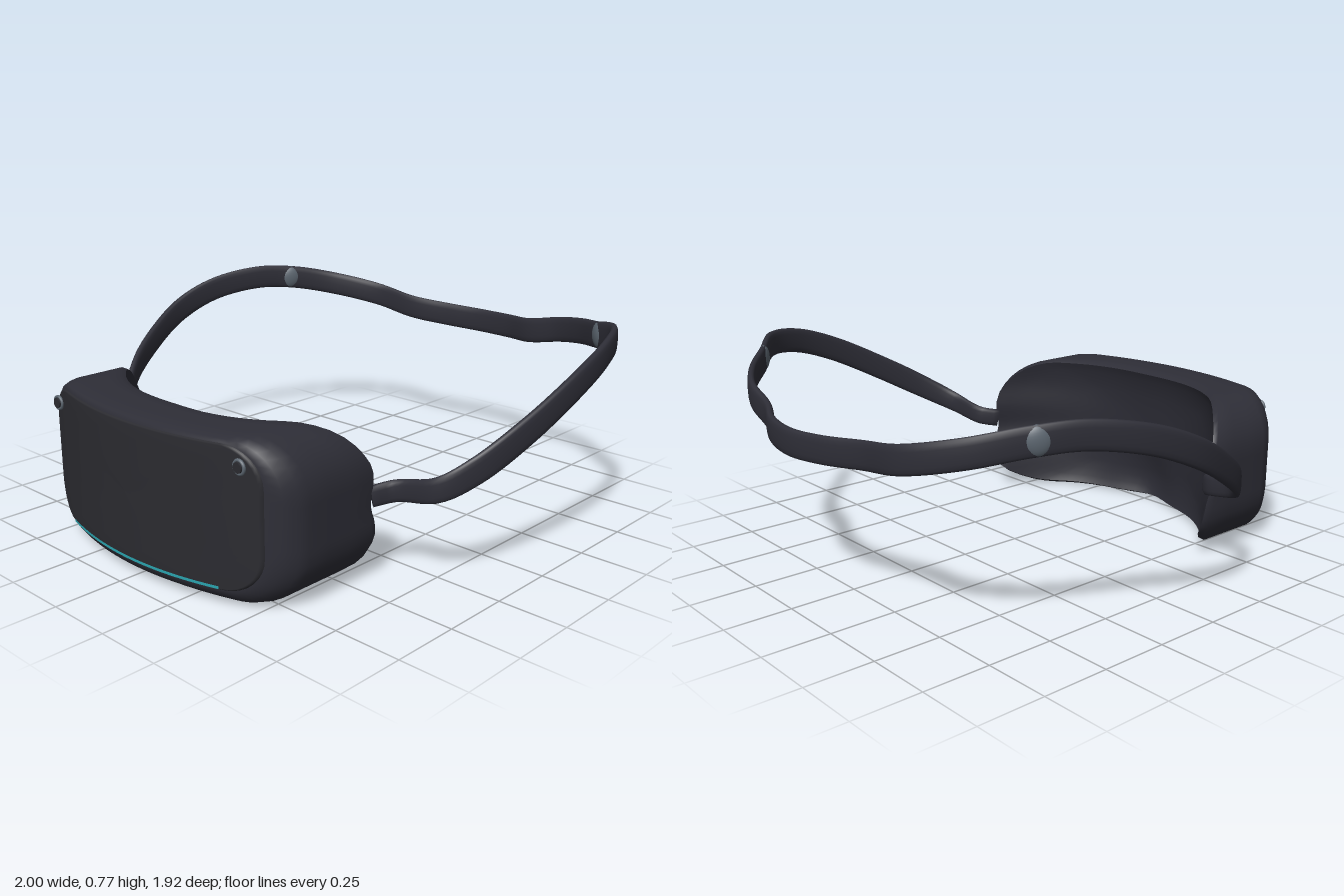
import * as THREE from 'three';

const mat = (name, color, side = THREE.FrontSide) => {
  const m = new THREE.MeshStandardMaterial({ color, side });
  m.name = name;
  return m;
};
const CX = -0.012;

// Skin a list of closed rings (arrays of [x, y, z])
function loft(rings) {
  const n = rings[0].length, index = [];
  for (let i = 0; i < rings.length - 1; i++) {
    for (let j = 0; j < n; j++) {
      const a = i * n + j, b = i * n + (j + 1) % n;
      index.push(a, b, a + n, b, b + n, a + n);
    }
  }
  const g = new THREE.BufferGeometry();
  g.setAttribute('position', new THREE.Float32BufferAttribute(rings.flat(2), 3));
  g.setIndex(index);
  g.computeVertexNormals();
  return g;
}

// Counter-clockwise rounded rectangle with evenly divided sides and corners
function roundRect(hw, hh, cy, r, scale = 1) {
  const pts = [];
  const corners = [[1, 1], [-1, 1], [-1, -1], [1, -1]];
  corners.forEach(([sx, sy], k) => {
    const ox = sx * (hw - r), oy = sy * (hh - r);
    for (let i = 0; i <= 8; i++) {
      const t = (k + i / 8) * Math.PI / 2;
      pts.push([ox + r * Math.cos(t), oy + r * Math.sin(t)]);
    }
    const [nx, ny] = corners[(k + 1) % 4];
    const end = (k + 1) * Math.PI / 2, [px, py] = pts[pts.length - 1];
    const qx = nx * (hw - r) + r * Math.cos(end), qy = ny * (hh - r) + r * Math.sin(end);
    const steps = k % 2 ? 8 : 20;
    for (let i = 1; i < steps; i++) {
      pts.push([px + (qx - px) * i / steps, py + (qy - py) * i / steps]);
    }
  });
  return pts.map(([x, y]) => [CX + x * scale, cy + y * scale]);
}

// Curved front of the visor, and the face-shaped curve of its back
const frontZ = (x) => 0.945 - 0.13 * ((x - CX) / 0.58) ** 2;
function backZ(x, y) {
  const low = 1 - THREE.MathUtils.smoothstep(y, 0.05, 0.3);
  const u = Math.abs(x - CX) / 0.62;
  const ax = Math.min(1, u + 0.09 * low * u * u);
  const nose = 0.05 * low * Math.exp(-(((x - CX) / 0.12) ** 2));
  return 0.73 - 0.33 * ax ** 2.8 + nose + 0.008 * Math.sin(y * 30) * u ** 4;
}
const ring = (pts, zAt) => pts.map(([x, y]) => [x, y, zAt(x, y)]);

function createModel() {
  const model = new THREE.Group();
  const charcoal = mat('charcoal', 0x2e2e37);
  const panelDark = mat('panelDark', 0x2b2b30);
  const foamDark = mat('foamDark', 0x2b2b34);
  const steel = mat('steelGrey', 0x5c6670);
  const teal = mat('teal', 0x2aa3ae, THREE.DoubleSide);
  const add = (name, geo, material, parent = model) => {
    const m = new THREE.Mesh(geo, material);
    m.name = name;
    parent.add(m);
    return m;
  };

  // Visor shell, from the back rim to the rounded front border
  const outer = roundRect(0.622, 0.285, 0.295, 0.19);
  const rim = roundRect(0.61, 0.272, 0.295, 0.18);
  const shell = [ring(rim, backZ), ring(outer, (x, y) => backZ(x, y) + 0.03)];
  for (const t of [0.35, 0.7]) {
    shell.push(ring(outer, (x, y) => THREE.MathUtils.lerp(backZ(x, y) + 0.03, frontZ(x) - 0.08, t)));
  }
  shell.push(
    ring(outer, (x) => frontZ(x) - 0.08),
    ring(roundRect(0.612, 0.279, 0.298, 0.185), (x) => frontZ(x) - 0.045),
    ring(roundRect(0.585, 0.266, 0.305, 0.17), (x) => frontZ(x) - 0.015),
    ring(roundRect(0.545, 0.25, 0.315, 0.14), (x) => frontZ(x) - 0.003),
    ring(roundRect(0.5, 0.22, 0.315, 0.11), (x) => frontZ(x) - 0.003),
  );
  add('visorShell', loft(shell), charcoal);

  // Face cushion: slightly dished surface inside the back rim
  const cushion = [0.002, 0.2, 0.4, 0.6, 0.75, 0.88, 0.95, 1].map((s) =>
    ring(roundRect(0.61, 0.272, 0.295, 0.18, s), (x, y) => backZ(x, y) + 0.03 * (1 - s ** 4)));
  add('faceCushion', loft(cushion), foamDark);

  // Front panel with a small bevelled edge
  const panel = [
    ring(roundRect(0.54, 0.247, 0.315, 0.135), (x) => frontZ(x) - 0.01),
    ring(roundRect(0.537, 0.244, 0.315, 0.132), (x) => frontZ(x) + 0.003),
  ];
  for (const s of [0.985, 0.8, 0.6, 0.4, 0.2, 0.002]) {
    panel.push(ring(roundRect(0.537, 0.244, 0.315, 0.132, s), (x) => frontZ(x) + 0.006));
  }
  add('frontPanel', loft(panel), panelDark);

  // Light strip that follows the panel's curve
  const strip = new THREE.PlaneGeometry(0.78, 0.01, 40, 1);
  const sp = strip.attributes.position;
  for (let i = 0; i < sp.count; i++) {
    const x = sp.getX(i) - 0.01;
    sp.setXYZ(i, x, sp.getY(i) + 0.079, frontZ(x) + 0.01);
  }
  strip.computeVertexNormals();
  add('lightStrip', strip, teal);

  // Two round sensors in the upper corners
  for (const side of [-1, 1]) {
    const sensor = new THREE.Group();
    sensor.name = side > 0 ? 'leftSensor' : 'rightSensor';
    sensor.position.set(CX + side * 0.477, 0.5, 0.872);
    add('sensorRing', new THREE.TorusGeometry(0.022, 0.006, 8, 28), steel, sensor);
    const lens = add('sensorLens', new THREE.CylinderGeometry(0.018, 0.02, 0.02, 24), panelDark, sensor);
    lens.rotation.x = Math.PI / 2;
    model.add(sensor);
  }

  // Head strap: flat band swept along a wavy loop
  const path = new THREE.CatmullRomCurve3([
    [-0.625, 0.31, 0.42], [-0.66, 0.325, 0.355], [-0.79, 0.355, 0.335], [-0.88, 0.42, 0.24],
    [-0.95, 0.515, 0.08], [-0.985, 0.61, -0.1], [-0.96, 0.68, -0.28], [-0.88, 0.715, -0.48],
    [-0.8, 0.705, -0.63], [-0.68, 0.67, -0.78], [-0.5, 0.63, -0.88], [-0.3, 0.6, -0.885],
    [-0.12, 0.585, -0.925], [0.04, 0.58, -0.945], [0.2, 0.585, -0.92], [0.34, 0.6, -0.86],
    [0.5, 0.635, -0.83], [0.64, 0.665, -0.755], [0.78, 0.695, -0.635], [0.91, 0.725, -0.52],
    [0.97, 0.71, -0.37], [0.985, 0.65, -0.19], [0.95, 0.53, 0.05], [0.88, 0.42, 0.24],
    [0.8, 0.36, 0.33], [0.65, 0.325, 0.355], [0.6, 0.31, 0.42],
  ].map((p) => new THREE.Vector3(...p)));
  const up = new THREE.Vector3(0, 1, 0);
  const frameAt = (t) => {
    const T = path.getTangentAt(t);
    const N = up.clone().cross(T).normalize();
    return { P: path.getPointAt(t), T, N, B: T.clone().cross(N) };
  };
  const pow = (v) => Math.sign(v) * Math.abs(v) ** 0.7;
  const section = (t, k) => {
    const { P, N, B } = frameAt(t);
    const end = THREE.MathUtils.smoothstep(Math.min(t, 1 - t), 0, 0.12);
    const h = 0.038 + 0.012 * end;
    return Array.from({ length: 16 }, (_, j) => {
      const a = j / 16 * Math.PI * 2;
      return P.clone().addScaledVector(N, pow(Math.cos(a)) * 0.015 * k)
        .addScaledVector(B, pow(Math.sin(a)) * h * k).toArray();
    });
  };
  const band = [section(0, 0.01)];
  for (let i = 0; i <= 180; i++) band.push(section(i / 180, 1));
  band.push(section(1, 0.01));
  add('headStrap', loft(band), charcoal);

  // Oval strap buttons, placed at the nearest point of the strap
  for (const [name, x, z] of [['rightStrapButton', -0.81, -0.61], ['leftStrapButton', 0.8, -0.62]]) {
    let best = 0, dist = Infinity;
    for (let i = 0; i <= 400; i++) {
      const p = path.getPointAt(i / 400), d = Math.hypot(p.x - x, p.z - z);
      if (d < dist) [best, dist] = [i / 400, d];
    }
    const { P, T, N, B } = frameAt(best);
    const button = add(name, new THREE.SphereGeometry(1, 28, 16), steel);
    button.quaternion.setFromRotationMatrix(new THREE.Matrix4().makeBasis(N, B, T));
    button.scale.set(0.021, 0.05, 0.048);
    button.position.copy(P);
  }
  return model;
}

export { createModel };
